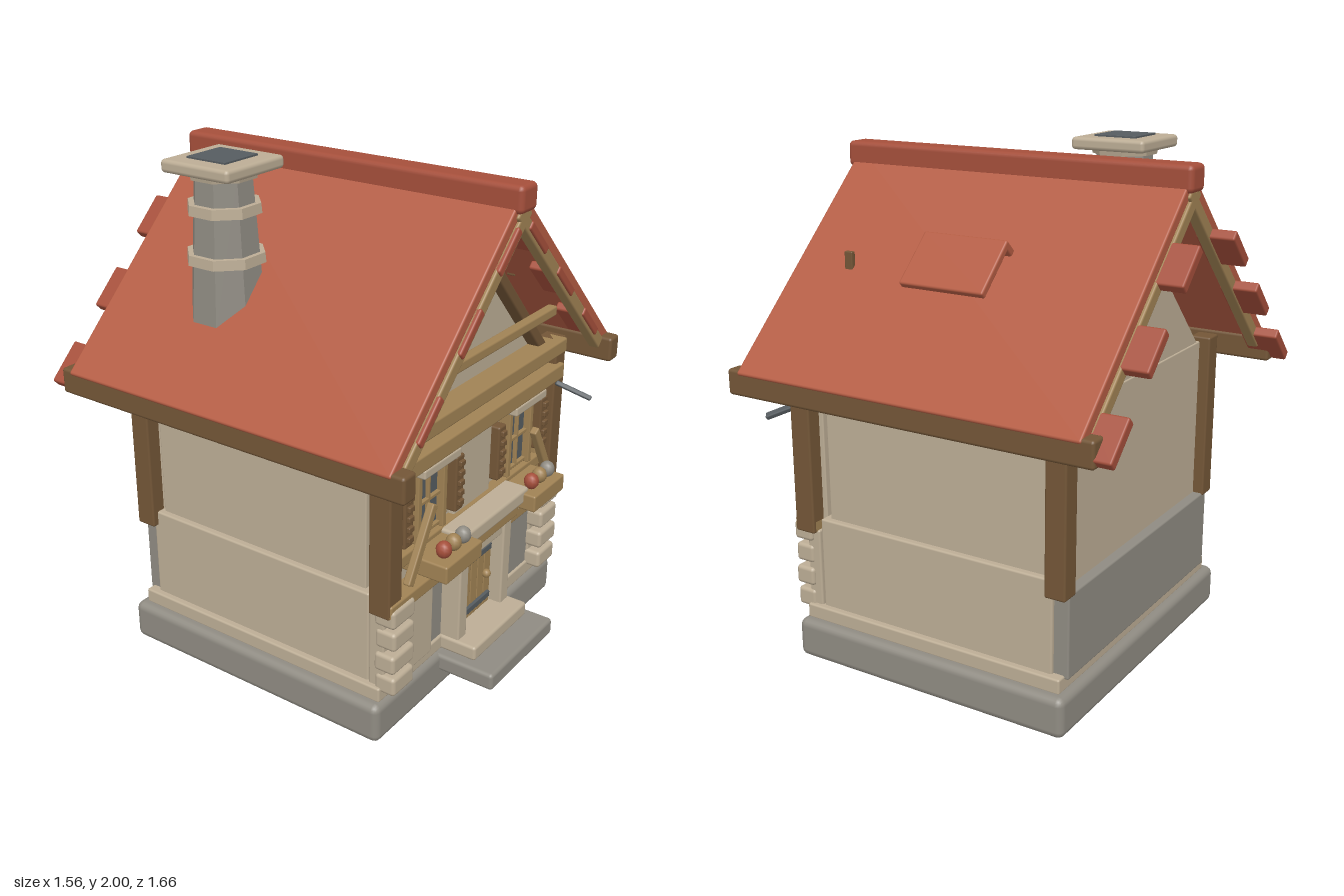
import * as THREE from 'three';
import { RoundedBoxGeometry } from 'three/addons/geometries/RoundedBoxGeometry.js';

const paint = (name, color) => {
  const m = new THREE.MeshStandardMaterial({ color });
  m.name = name;
  return m;
};

export function createModel() {
  const cream = paint('cream plaster', 0xbcad95), grey = paint('grey stone', 0x8f8b82);
  const brown = paint('dark timber', 0x735637), tan = paint('light timber', 0xa08254);
  const red = paint('roof red', 0xb35c43), tileRed = paint('tile red', 0xa54f3b);
  const slate = paint('slate', 0x565c60);
  const model = new THREE.Group();
  model.name = 'cottage';

  const add = (name, geo, mat, x, y, z) => {
    const m = new THREE.Mesh(geo, mat);
    m.name = name;
    m.position.set(x, y, z);
    model.add(m);
    return m;
  };
  const block = (w, h, d, r) => new RoundedBoxGeometry(w, h, d, 2, Math.min(r, w / 3, h / 3, d / 3));
  // bevelled box given by its limits
  const box = (name, mat, x0, x1, y0, y1, z0, z1, r = 0.008) =>
    add(name, block(x1 - x0, y1 - y0, z1 - z0, r), mat, (x0 + x1) / 2, (y0 + y1) / 2, (z0 + z1) / 2);
  // the same box on the left and right
  const pair = (name, mat, x0, x1, ...rest) => {
    box(name, mat, x0, x1, ...rest);
    box(name, mat, -x1, -x0, ...rest);
  };
  // box along a roof slope: s runs down the slope, d is depth below its surface
  const slope = (name, mat, side, s0, s1, d0, d1, z0, z1, apexY = 1.93, a = 0.763, apexX = 0) => {
    const s = (s0 + s1) / 2, d = (d0 + d1) / 2;
    const m = add(name, block(s1 - s0, d1 - d0, z1 - z0, 0.008), mat,
      apexX + side * (Math.cos(a) * s - Math.sin(a) * d),
      apexY - Math.sin(a) * s - Math.cos(a) * d, (z0 + z1) / 2);
    m.rotation.z = -side * a;
  };
  // square bar between two points
  const bar = (name, mat, a, b, w, t) => {
    const p = new THREE.Vector3(...a), q = new THREE.Vector3(...b);
    const m = add(name, block(w, p.distanceTo(q), t, 0.006), mat, 0, 0, 0);
    m.position.copy(p).add(q).multiplyScalar(0.5);
    m.quaternion.setFromUnitVectors(new THREE.Vector3(0, 1, 0), q.sub(p).normalize());
  };

  // base and steps
  box('base', grey, -0.66, 0.66, 0, 0.16, -0.6, 0.6, 0.03);
  box('lowerStep', grey, -0.24, 0.24, 0.085, 0.155, 0.5, 0.83, 0.015);
  box('upperStep', cream, -0.2, 0.2, 0.155, 0.215, 0.5, 0.73, 0.012);
  box('plinth', cream, -0.62, 0.62, 0.155, 0.215, -0.565, 0.58);

  // ground floor
  box('lowerWall', cream, -0.595, 0.595, 0.2, 0.58, -0.52, 0.515);
  box('backStoneWall', grey, -0.58, 0.58, 0.2, 0.53, -0.58, -0.5);
  box('frontStoneWall', grey, -0.57, 0.57, 0.2, 0.53, 0.5, 0.57);
  box('frontPanel', cream, -0.6, -0.275, 0.19, 0.53, 0.52, 0.585);
  box('frontPanel', cream, 0.19, 0.27, 0.19, 0.53, 0.52, 0.58);
  box('frontPanel', cream, 0.48, 0.6, 0.19, 0.53, 0.52, 0.58);
  for (let i = 0; i < 4; i++) {
    const y = 0.195 + i * 0.095, w = (i % 2) * 0.006;
    pair('cornerStone', cream, 0.475, 0.608 + w, y, y + 0.075, 0.55, 0.637, 0.015);
  }

  // door
  for (let i = 0; i < 5; i++) {
    const x = -0.125 + i * 0.05;
    box('doorPlank', tan, x, x + 0.048, 0.215, 0.525, 0.56, 0.6, 0.004);
  }
  for (const y of [0.245, 0.465]) box('doorHinge', slate, -0.115, 0.108, y, y + 0.027, 0.595, 0.612, 0.004);
  add('doorKnob', new THREE.SphereGeometry(0.018, 12, 8), tan, 0.077, 0.365, 0.61);
  pair('doorPillar', cream, 0.13, 0.19, 0.2, 0.59, 0.55, 0.65);
  box('doorLintel', cream, -0.14, 0.14, 0.525, 0.59, 0.55, 0.64);
  pair('lintelEnd', cream, 0.19, 0.265, 0.575, 0.61, 0.55, 0.64);
  box('lintelBeam', tan, -0.2, 0.2, 0.59, 0.65, 0.55, 0.67);
  box('lintelCap', cream, -0.24, 0.24, 0.645, 0.705, 0.55, 0.69, 0.012);

  // upper floor walls and timber
  pair('sideWall', cream, 0.52, 0.57, 0.57, 1.17, -0.485, 0.485, 0.005);
  box('backWall', cream, -0.56, 0.56, 0.52, 1.18, -0.54, -0.495, 0.005);
  box('frontWall', cream, -0.56, 0.56, 0.55, 1.17, 0.51, 0.55, 0.005);
  box('centrePanel', cream, -0.13, 0.13, 0.7, 0.99, 0.54, 0.575);
  pair('cornerPost', brown, 0.54, 0.62, 0.52, 1.2, 0.53, 0.62);
  pair('cornerPost', brown, 0.54, 0.62, 0.52, 1.2, -0.585, -0.5);
  box('sillBeam', tan, -0.615, 0.615, 0.52, 0.575, 0.53, 0.627);
  box('upperBeam', tan, -0.58, 0.58, 1.035, 1.1, 0.54, 0.64);
  box('tieBeam', tan, -0.6, 0.6, 1.14, 1.2, 0.53, 0.635);
  box('collarBeam', tan, -0.46, 0.46, 1.337, 1.377, 0.61, 0.65);
  pair('wallStud', tan, 0.5, 0.54, 0.57, 1.04, 0.54, 0.575);
  box('middleRail', tan, -0.54, 0.54, 0.66, 0.71, 0.54, 0.59);

  // windows, shutters, flower boxes
  for (const c of [-0.32, 0.32]) {
    box('windowGlass', slate, c - 0.09, c + 0.09, 0.74, 1.0, 0.545, 0.57, 0.002);
    for (const e of [-0.083, 0.083]) box('windowFrame', tan, c + e - 0.012, c + e + 0.012, 0.72, 1.0, 0.545, 0.6, 0.004);
    box('windowMullion', tan, c - 0.006, c + 0.006, 0.74, 1.0, 0.56, 0.585, 0.003);
    for (const y of [0.735, 0.86, 0.99]) box('windowBar', tan, c - 0.09, c + 0.09, y - 0.007, y + 0.007, 0.56, 0.585, 0.003);
    box('windowHeader', cream, c - 0.12, c + 0.12, 1.0, 1.037, 0.54, 0.64);
    box('flowerBox', tan, c - 0.122, c + 0.122, 0.62, 0.69, 0.55, 0.74);
    [tileRed, tan, grey].forEach((mat, i) => {
      const pot = add('flower', new THREE.SphereGeometry(0.03, 10, 8), mat, c + (i - 1) * 0.065, 0.722, 0.69);
      pot.scale.y = 1.1;
    });
    for (const e of [-0.167, 0.167]) {
      const x = c + e;
      box('shutter', brown, x - 0.027, x + 0.027, 0.75, 0.975, 0.56, 0.61);
      for (let y = 0.785; y < 0.96; y += 0.04)
        box('shutterSlat', brown, x - 0.016, x + 0.016, y - 0.011, y + 0.011, 0.6, 0.622, 0.004);
    }
    const k = Math.sign(c);
    bar('brace', tan, [k * 0.52, 0.62, 0.63], [k * 0.37, 0.88, 0.63], 0.035, 0.03);
  }
  bar('lampHook', slate, [0.55, 1.02, 0.62], [0.61, 0.96, 0.75], 0.03, 0.02);

  // gables
  const tri = new THREE.Shape([[-0.52, 1.18], [0.52, 1.18], [0, 1.71]].map(p => new THREE.Vector2(...p)));
  const gable = new THREE.ExtrudeGeometry(tri, { depth: 0.04, bevelEnabled: false });
  add('frontGable', gable, cream, 0, 0, 0.5);
  add('backGable', gable, cream, 0, 0, -0.535);

  // roof, each side
  for (const k of [-1, 1]) {
    slope('roofSlab', red, k, 0, 1.085, 0, 0.045, -0.725, 0.725);
    slope('gableRafter', brown, k, 0, 0.75, 0, 0.045, 0.53, 0.59, 1.735, 0.815);
    for (const z of [-0.735, 0.69]) slope('bargeBoard', tan, k, 0.02, 1.03, 0.045, 0.095, z, z + 0.045);
    [0.21, 0.455, 0.7].forEach((x, i) => {
      const s = (x + 0.045) / Math.cos(0.763);
      slope('backTile', tileRed, k, s - 0.088, s + 0.088, 0.045, 0.087, -0.83, -0.68);
      const f = [0.2, 0.52, 0.85][i];
      slope('frontTile', tileRed, k, f - 0.09, f + 0.09, 0.045, 0.08, 0.62, 0.742);
    });
    slope('roofHood', red, k, 0, k > 0 ? 0.235 : 0.2, 0, 0.03, -0.178, 0.178, 1.695, 0.763, 0.335);
  }
  pair('eaveBeam', brown, 0.705, 0.777, 1.09, 1.19, -0.77, 0.775, 0.012);
  box('ridge', tileRed, -0.055, 0.055, 1.86, 1.96, -0.745, 0.75, 0.02);
  box('roofPeg', brown, 0.395, 0.415, 1.48, 1.6, 0.457, 0.493, 0.004);
  box('roofPeg', brown, 0.28, 0.3, 1.47, 1.57, 0.457, 0.493, 0.004);

  // chimney
  const cx = -0.415, cz = -0.245;
  const drum = (name, mat, r0, r1, y0, y1) => {
    const g = new THREE.CylinderGeometry(r1, r0, y1 - y0, 8).rotateY(Math.PI / 8).toNonIndexed();
    g.computeVertexNormals();
    add(name, g, mat, cx, (y0 + y1) / 2, cz);
  };
  drum('chimneyShaft', grey, 0.145, 0.108, 1.38, 1.94);
  drum('chimneyRing', cream, 0.15, 0.147, 1.62, 1.657);
  drum('chimneyRing', cream, 0.14, 0.137, 1.8, 1.837);
  drum('chimneyNeck', cream, 0.125, 0.13, 1.925, 1.95);
  box('chimneyCap', cream, cx - 0.155, cx + 0.155, 1.945, 1.993, cz - 0.155, cz + 0.155, 0.015);
  box('chimneyOpening', slate, cx - 0.088, cx + 0.088, 1.991, 2, cz - 0.088, cz + 0.088, 0.001);

  return model;
}
